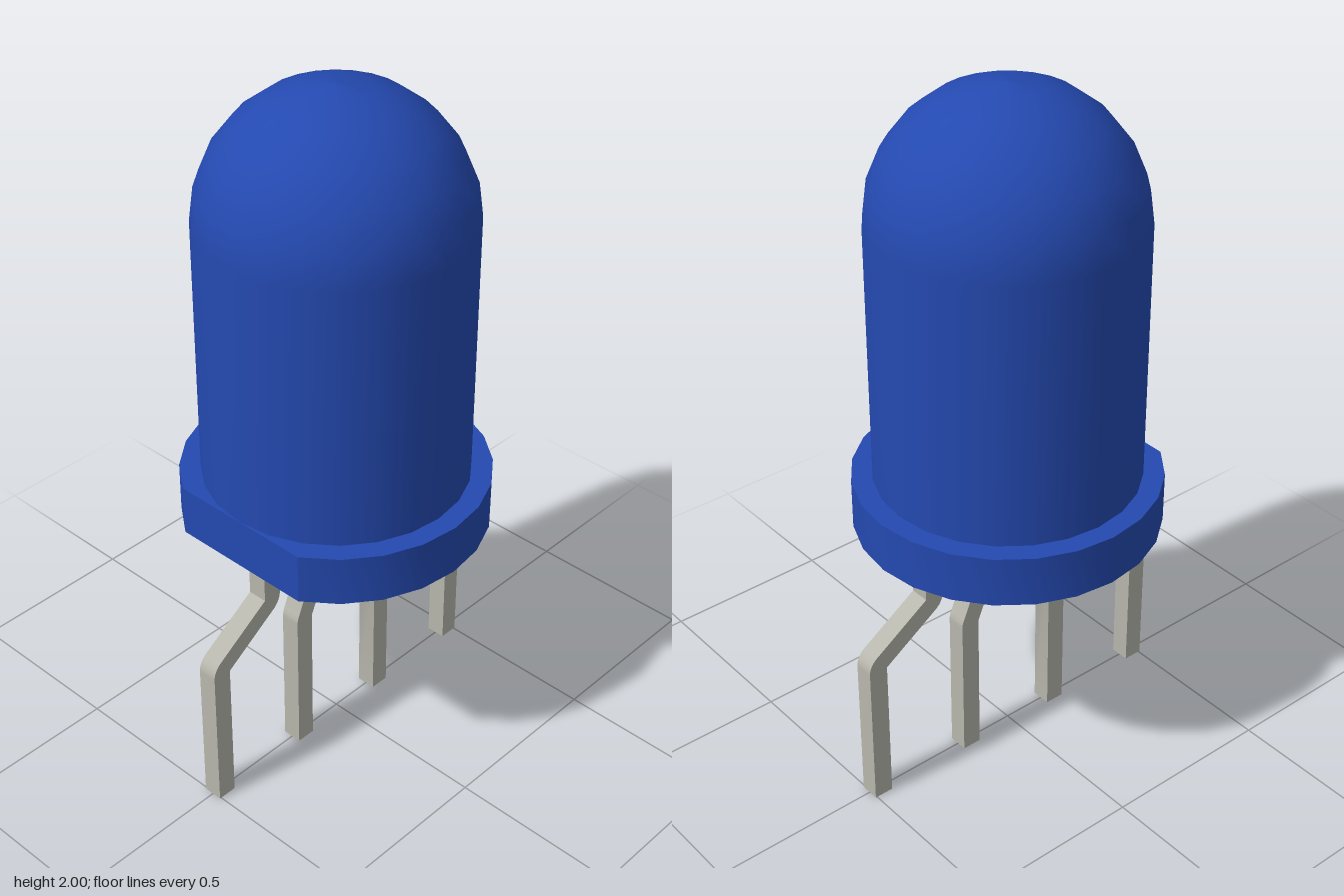
import * as THREE from 'three';
import { toCreasedNormals } from 'three/addons/utils/BufferGeometryUtils.js';

const SIDES = 24;
const BASE_Y = 0.74, RIM_Y = 0.885;
const BULB_R = 0.367, RIM_R = 0.425;
const LEG_HALF = 0.0285;

// Cylinder wall that runs into a half-sphere dome
function bulbGeometry() {
  const points = [new THREE.Vector2(BULB_R, RIM_Y)];
  for (let i = 0; i <= 6; i++) {
    const a = (i / 6) * Math.PI / 2;
    points.push(new THREE.Vector2(i === 6 ? 0 : BULB_R * Math.cos(a), 2 - BULB_R + BULB_R * Math.sin(a)));
  }
  return new THREE.LatheGeometry(points, SIDES);
}

// Round rim with one flat side at -x
function rimGeometry() {
  const points = [];
  for (let i = -10; i <= 10; i++) {
    const a = (i / SIDES) * Math.PI * 2;
    points.push(new THREE.Vector2(RIM_R * Math.cos(a), RIM_R * Math.sin(a)));
  }
  const geometry = new THREE.ExtrudeGeometry(new THREE.Shape(points), {
    depth: RIM_Y - BASE_Y, bevelEnabled: false,
  });
  geometry.rotateX(-Math.PI / 2);
  geometry.translate(0, BASE_Y, 0);
  return toCreasedNormals(geometry, 0.5);
}

// Square wire bent outwards from topX to bottomX; the outside of each bend is rounded
function legGeometry(topX, bottomX) {
  const w = LEG_HALF * 2;
  const ax = topX + LEG_HALF, ay = 0.6;
  const bx = bottomX - LEG_HALF, by = 0.44;
  const dx = bx - ax, dy = ay - by;
  const tilt = Math.atan2(dx, dy) + Math.asin(w / Math.hypot(dx, dy));

  const shape = new THREE.Shape();
  shape.moveTo(ax, BASE_Y);
  shape.lineTo(ax - w, BASE_Y);
  shape.absarc(ax, ay, w, Math.PI, Math.PI + tilt, false);
  shape.lineTo(bx, by);
  shape.lineTo(bx, 0);
  shape.lineTo(bx + w, 0);
  shape.absarc(bx, by, w, 0, tilt, false);
  shape.lineTo(ax, ay);
  shape.closePath();

  const geometry = new THREE.ExtrudeGeometry(shape, { depth: w, bevelEnabled: false, curveSegments: 4 });
  geometry.translate(0, 0, -LEG_HALF);
  return toCreasedNormals(geometry, 0.5);
}

export function createModel() {
  const model = new THREE.Group();
  model.name = 'lightEmittingDiode';
  const blue = new THREE.MeshStandardMaterial({ color: 0x2449b0 });
  const metal = new THREE.MeshStandardMaterial({ color: 0xb6b6ac });

  const add = (name, geometry, material) => {
    const mesh = new THREE.Mesh(geometry, material);
    mesh.name = name;
    model.add(mesh);
    return mesh;
  };

  add('bulb', bulbGeometry(), blue);
  add('rim', rimGeometry(), blue);

  // Two pairs of legs, the right ones turned half round
  for (const [name, topX, bottomX] of [['inner', 0.094, 0.158], ['outer', 0.281, 0.476]]) {
    const geometry = legGeometry(topX, bottomX);
    add(name + 'LegLeft', geometry, metal);
    add(name + 'LegRight', geometry, metal).rotation.y = Math.PI;
  }
  return model;
}
